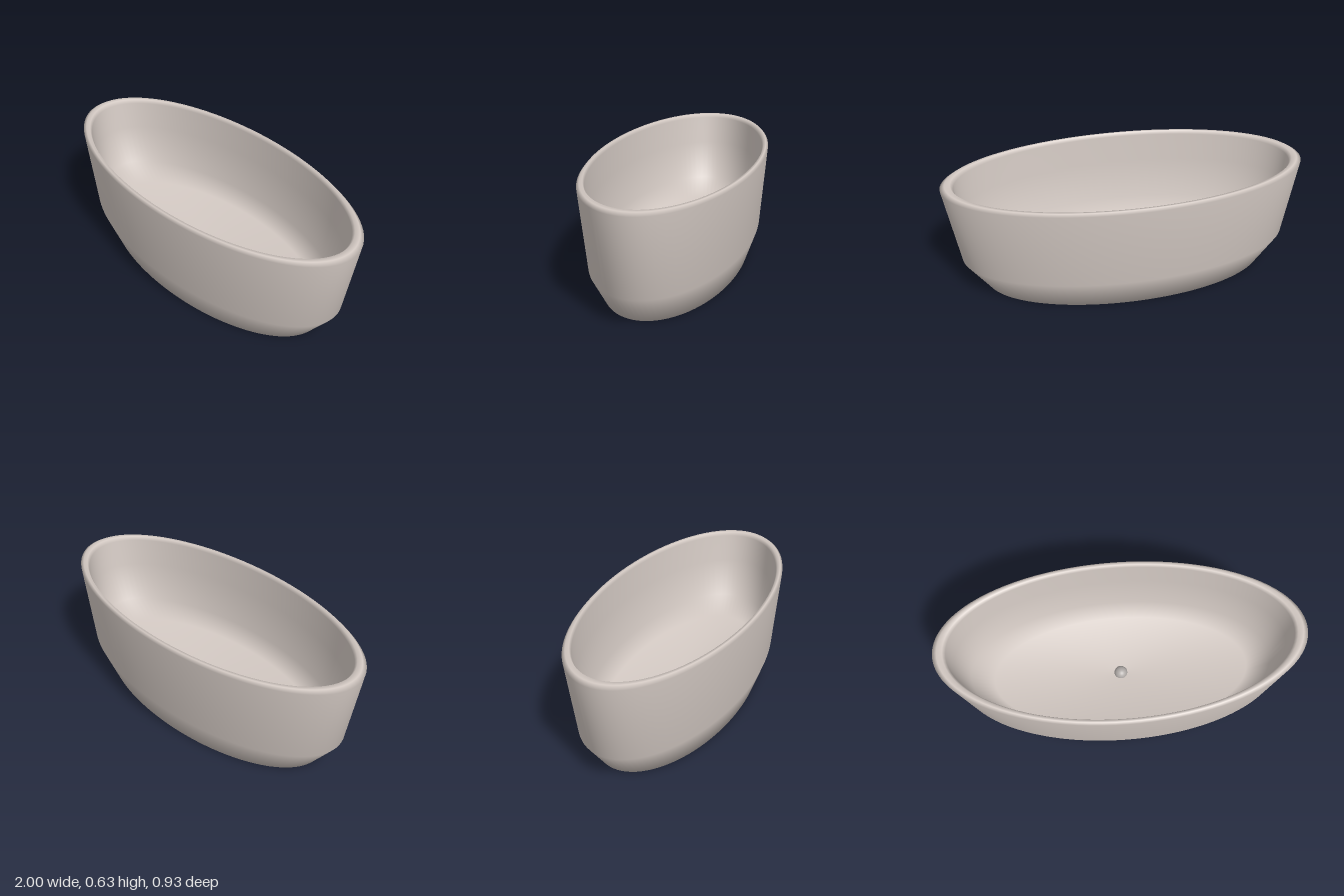
import * as THREE from 'three';

export function createModel() {
  const group = new THREE.Group();
  const enamel = new THREE.MeshStandardMaterial({ name: 'warm grey enamel', color: 0xd2c8c2 });
  const metal = new THREE.MeshStandardMaterial({ name: 'drain metal', color: 0xb0aba8 });

  // Oval tub: one closed profile, outside then rim then inside, squashed in z
  const profile = [
    [0, 0], [0.8, 0], [0.925, 0.17], [1, 0.615], [0.975, 0.63],
    [0.945, 0.63], [0.93, 0.61], [0.915, 0.45], [0.86, 0.22], [0.74, 0.12], [0, 0.1],
  ].map(([x, y]) => new THREE.Vector2(x, y));
  const tubGeometry = new THREE.LatheGeometry(profile, 96);
  tubGeometry.scale(1, 1, 0.4625);
  const tub = new THREE.Mesh(tubGeometry, enamel);
  tub.name = 'tub';
  group.add(tub);

  // Round drain plug in the middle of the floor
  const drain = new THREE.Mesh(new THREE.SphereGeometry(0.038, 32, 20), metal);
  drain.name = 'drainPlug';
  drain.position.y = 0.1;
  group.add(drain);

  return group;
}
